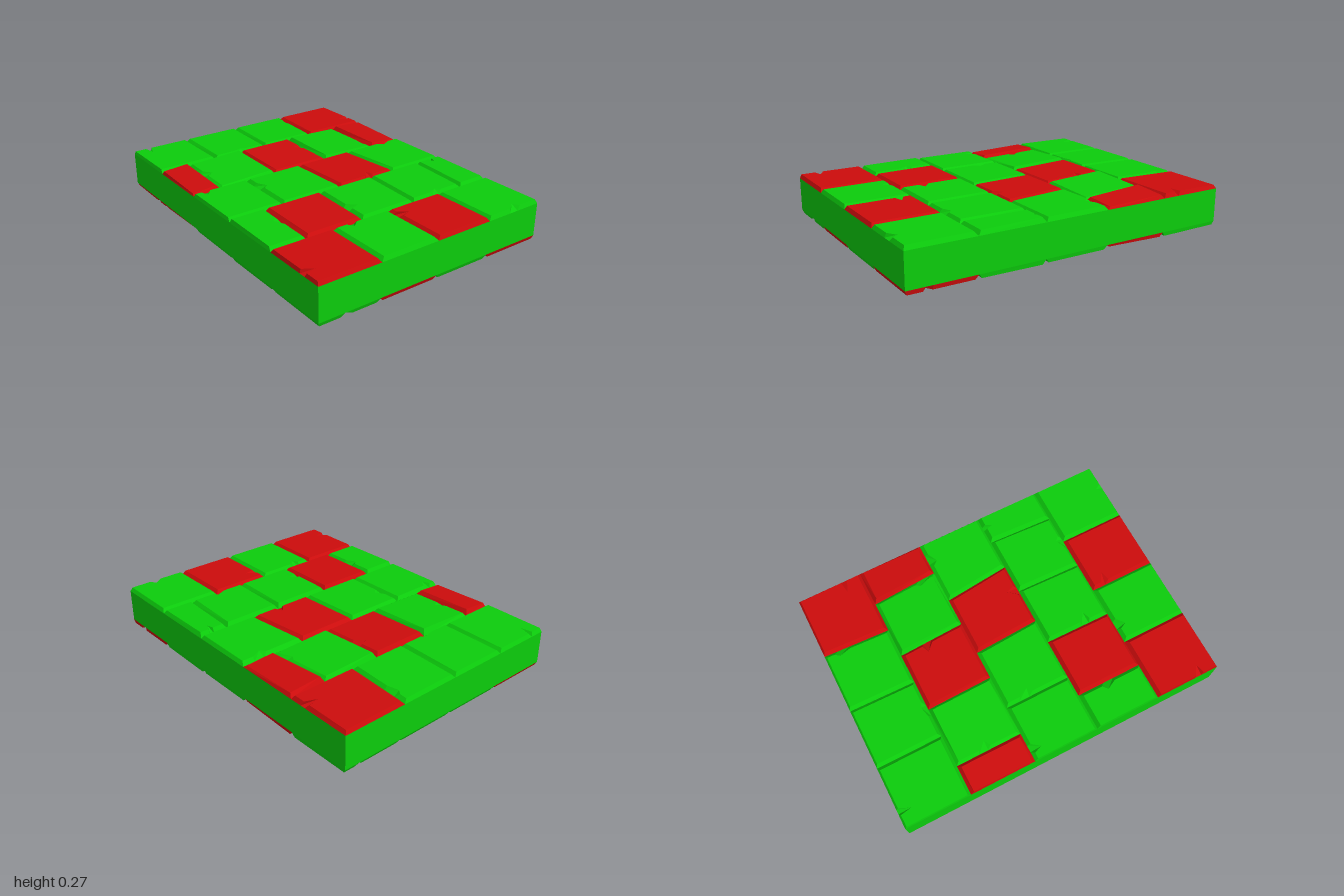
import * as THREE from 'three';

const LEFT = 0, FRONT = 1, RIGHT = 2, BACK = 3;
const BASE = 0.24, HALF_W = 0.75, ROW_DEPTH = 0.4;

// Rows from the back: first seam, seam spacing, lean added per seam, height,
// slope in z, dome towards the middle, and chips as [edge, position, depth]
const rows = [
  {
    colours: 'gggr', start: -0.38, pitch: 0.365, lean: -0.005, height: 0.263, slope: 0.01, dome: 0,
    chips: [[BACK, 0.74, 0.07], [FRONT, 0.5, 0.015], [RIGHT, 0.75, 0.02], [RIGHT, 0.24, 0.07]],
  },
  {
    colours: 'rgrgr', start: -0.573, pitch: 0.37, lean: 0.004, height: 0.264, slope: -0.03, dome: 0.1,
    chips: [null, [LEFT, 0.45, 0.04], [RIGHT, 0.6, 0.045], [RIGHT, 0.2, 0.02], null],
  },
  {
    colours: 'ggrg', start: -0.405, pitch: 0.385, lean: 0.01, height: 0.263, slope: 0, dome: 0,
    chips: [[BACK, 0.8, 0.05], [LEFT, 0.32, 0.03], [FRONT, 0.57, 0.05], [BACK, 0.3, 0.03]],
  },
  {
    colours: 'grggg', start: -0.53, pitch: 0.364, lean: -0.003, height: 0.266, slope: -0.01, dome: 0,
    chips: [[RIGHT, 0.55, 0.03], null, [LEFT, 0.65, 0.05], [FRONT, 0.5, 0.025], [BACK, 0.45, 0.04]],
  },
  {
    colours: 'rgrg', start: -0.37, pitch: 0.371, lean: 0, height: 0.264, slope: 0, dome: 0,
    chips: [[LEFT, 0.7, 0.06], [BACK, 0.72, 0.04], [LEFT, 0.18, 0.06], [FRONT, 0.53, 0.035]],
  },
];

// Bevelled tile: a base outline joined to an inset, slightly tilted top outline
function tileGeometry(corners, insets, row, chip) {
  const [insetL, insetF, insetR, insetB] = insets;
  const shift = [[insetL, insetB], [insetL, -insetF], [-insetR, -insetF], [-insetR, insetB]];
  const inward = [[1, 0], [0, -1], [-1, 0], [0, 1]];
  const topCorners = corners.map(([x, z], i) => [x + shift[i][0], z + shift[i][1]]);
  const mix = (a, b, t) => [a[0] + (b[0] - a[0]) * t, a[1] + (b[1] - a[1]) * t];
  const low = [], high = [];
  for (let e = 0; e < 4; e++) {
    const n = (e + 1) % 4;
    low.push(corners[e]);
    high.push(topCorners[e]);
    if (!chip || chip[0] !== e) continue;
    // chipped edge: the middle point is pushed into the tile; shallow chips are wider
    const [, t, depth] = chip;
    const w = 0.16 - 1.5 * depth;
    [[t - w, 0], [t + w * 0.4, depth], [t + w, 0]].forEach(([s, d]) => {
      const p = mix(topCorners[e], topCorners[n], s);
      low.push(mix(corners[e], corners[n], s));
      high.push([p[0] + inward[e][0] * d, p[1] + inward[e][1] * d]);
    });
  }
  const cx = (corners[0][0] + corners[2][0]) / 2, cz = (corners[0][1] + corners[2][1]) / 2;
  const bottom = ([x, z]) => [x, BASE, z];
  const top = ([x, z]) => [x, row.height - row.dome * cx * (x - cx) + row.slope * (z - cz), z];
  const verts = [];
  low.forEach((a, i) => {
    const j = (i + 1) % low.length;
    const [a0, b0, a1, b1] = [bottom(a), bottom(low[j]), top(high[i]), top(high[j])];
    verts.push(...a0, ...b0, ...b1, ...a0, ...b1, ...a1);
  });
  const contour = high.map(([x, z]) => new THREE.Vector2(x, -z));
  for (const face of THREE.ShapeUtils.triangulateShape(contour, [])) {
    face.forEach((i) => verts.push(...top(high[i])));
  }
  const geometry = new THREE.BufferGeometry();
  geometry.setAttribute('position', new THREE.Float32BufferAttribute(verts, 3));
  geometry.computeVertexNormals();
  return geometry;
}

export function createModel() {
  const green = new THREE.MeshStandardMaterial({ name: 'green', color: 0x0ccc0c });
  const red = new THREE.MeshStandardMaterial({ name: 'red', color: 0xcc0c0c });
  const model = new THREE.Group();
  model.name = 'tiledFloor';

  // Core slab
  const slab = new THREE.Mesh(new THREE.BoxGeometry(2 * HALF_W, 0.2, 2), green);
  slab.name = 'slab';
  slab.position.y = 0.14;
  model.add(slab);

  // Upper layer of tiles, row by row from the back
  const upper = new THREE.Group();
  upper.name = 'upperTiles';
  rows.forEach((row, r) => {
    const z0 = -1 + r * ROW_DEPTH, z1 = z0 + ROW_DEPTH;
    const last = row.colours.length - 1;
    // x of a seam at the back (side -1) or front (side 1) of the row
    const seam = (i, side) => {
      if (i === 0) return -HALF_W;
      if (i > last) return HALF_W;
      return row.start + (i - 1) * (row.pitch + side * row.lean);
    };
    [...row.colours].forEach((colour, i) => {
      const corners = [
        [seam(i, -1), z0], [seam(i, 1), z1], [seam(i + 1, 1), z1], [seam(i + 1, -1), z0],
      ];
      // bevels are narrower along the rim of the slab
      const insets = [
        i === 0 ? 0.004 : 0.018,
        r === rows.length - 1 ? 0.01 : 0.018,
        i === last ? 0.012 : 0.02,
        r === 0 ? 0.012 : 0.02,
      ];
      const geometry = tileGeometry(corners, insets, row, row.chips[i]);
      const mesh = new THREE.Mesh(geometry, colour === 'r' ? red : green);
      mesh.name = `tileRow${r + 1}Column${i + 1}`;
      upper.add(mesh);
    });
  });
  model.add(upper);

  // Underside repeats the tiles, turned over about the z axis
  const lower = upper.clone();
  lower.name = 'lowerTiles';
  lower.rotation.z = Math.PI;
  lower.position.y = 0.28;
  model.add(lower);
  return model;
}
